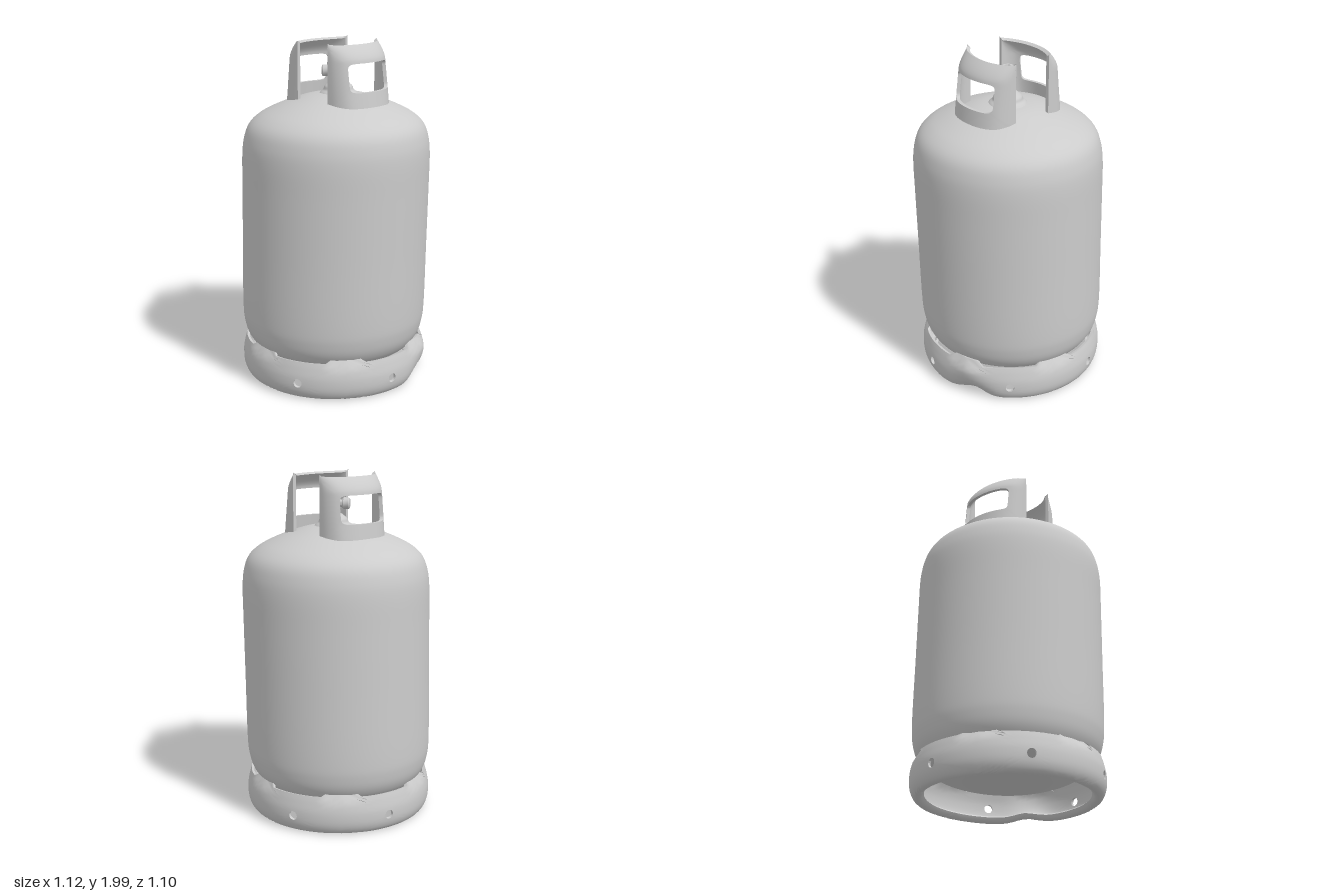
import * as THREE from 'three';
import { mergeGeometries, toCreasedNormals } from 'three/addons/utils/BufferGeometryUtils.js';

const material = new THREE.MeshStandardMaterial({ color: 0xcccccc, side: THREE.DoubleSide });
const V2 = (x, y) => new THREE.Vector2(x, y);
const smooth = THREE.MathUtils.smoothstep;

function add(parent, name, geometry, x = 0, y = 0, z = 0) {
  const mesh = new THREE.Mesh(geometry, material);
  mesh.name = name;
  mesh.position.set(x, y, z);
  parent.add(mesh);
  return mesh;
}

// Lathe through a smooth curve or straight segments
function lathe(points, sides, samples) {
  const pts = points.map(p => V2(...p));
  const profile = samples ? new THREE.SplineCurve(pts).getPoints(samples) : pts;
  profile.forEach(p => { p.x = Math.max(0, p.x); });
  const g = new THREE.LatheGeometry(profile, sides);
  return samples ? g : toCreasedNormals(g, 0.6);
}

// Thick rectangular sheet with one hole; map(u, v, depth) bends it into place
function piercedSheet(halfU, halfV, hole, thickness, perSide, steps, map) {
  const rim = [];
  const corners = [[-1, -1], [1, -1], [1, 1], [-1, 1]];
  corners.forEach(([a, b], k) => {
    const [c, d] = corners[(k + 1) % 4];
    for (let i = 0; i < perSide; i++) {
      const t = i / perSide;
      rim.push([a + (c - a) * t, b + (d - b) * t]);
    }
  });
  const n = rim.length, m = 2 * (steps + 1), pos = [], index = [];
  for (const [a, b] of rim) {
    const [hu, hv] = hole(a, b);
    for (let j = 0; j < m; j++) {
      const back = j > steps;
      const t = (back ? m - 1 - j : j) / steps;
      pos.push(...map(hu + (a * halfU - hu) * t, hv + (b * halfV - hv) * t, back ? thickness : 0));
    }
  }
  for (let i = 0; i < n; i++) for (let j = 0; j < m; j++) {
    const i2 = (i + 1) % n, j2 = (j + 1) % m;
    const p = i * m + j, q = i * m + j2, r = i2 * m + j2, s = i2 * m + j;
    index.push(p, q, r, p, r, s);
  }
  const g = new THREE.BufferGeometry();
  g.setAttribute('position', new THREE.Float32BufferAttribute(pos, 3));
  g.setIndex(index);
  return g;
}

// Foot ring: six pierced sectors, rolled under at the bottom and welded to the tank between slots
function footRing() {
  const curve = new THREE.SplineCurve([
    [0.465, 0.035], [0.485, 0.01], [0.52, 0.012], [0.545, 0.06],
    [0.549, 0.13], [0.538, 0.19], [0.527, 0.228]].map(p => V2(...p)));
  const R = 0.545, halfU = R * Math.PI / 6, halfV = 0.14;
  const hole = (a, b) => {
    const l = Math.hypot(a, b);
    return [0.025 * a / l, 0.02 + 0.025 * b / l];
  };
  const sectors = [];
  for (let k = 0; k < 6; k++) {
    const centre = THREE.MathUtils.degToRad(20 + 60 * k);
    sectors.push(piercedSheet(halfU, halfV, hole, 0.016, 14, 9, (u, v, depth) => {
      const t = THREE.MathUtils.clamp((v + halfV) / (2 * halfV), 0, 1);
      const p = curve.getPointAt(t), d = curve.getTangentAt(t);
      let r = p.x - d.y * depth, y = p.y + d.x * depth;
      // weld tabs
      const tab = smooth(t, 0.85, 1) * smooth(Math.abs(u) / halfU, 0.55, 0.75);
      r -= 0.03 * tab;
      y += 0.025 * tab;
      // dent in one side
      const a = centre + u / R;
      const dent = Math.exp(-(((a - 1.99) / 0.2) ** 2));
      r += dent * (0.025 * smooth(y, 0.1, 0.2) - 0.04 * (1 - smooth(y, 0.02, 0.13)));
      y += dent * 0.018 * (1 - smooth(y, 0.02, 0.1));
      return [r * Math.sin(a), y, r * Math.cos(a)];
    }));
  }
  return toCreasedNormals(mergeGeometries(sectors), 0.7);
}

// Guard handle: curved plate with a window, leaning in and curling over at the top
function handle(lean) {
  const half = [[0.13, 0.213], [0.2, 0.205], [0.262, 0.17], [0.302, 0.095]];
  const plan = new THREE.SplineCurve([
    ...half.map(([x, z]) => V2(x, z)), V2(0.315, 0),
    ...half.slice().reverse().map(([x, z]) => V2(x, -z))]);
  const hole = (a, b) => {
    const l = (a ** 8 + b ** 8) ** (1 / 8);
    return [0.53 * a / l, 0.08 * b / l];
  };
  const g = piercedSheet(1, 0.19, hole, 0.02, 20, 8, (u, v, depth) => {
    const t = THREE.MathUtils.clamp((u + 1) / 2, 0, 1);
    const p = plan.getPointAt(t), d = plan.getTangentAt(t);
    const rise = (v + 0.19) / 0.38, inner = 1 - u ** 4;
    const curl = Math.max(0, (v - 0.09) / 0.1);
    const x = p.x + d.y * depth - inner * (lean * rise + 0.05 * curl ** 1.6);
    const y = 1.81 + v - 0.012 * curl * inner - 0.01 * curl * depth / 0.02;
    return [x, y, p.y - d.x * depth];
  });
  return toCreasedNormals(g, 0.7);
}

export function createModel() {
  const model = new THREE.Group();
  model.name = 'gasCylinder';

  // Tank, leaning very slightly
  const tank = lathe([
    [0, 0.09], [0.2, 0.1], [0.36, 0.14], [0.46, 0.19], [0.512, 0.25], [0.538, 0.33],
    [0.547, 0.45], [0.547, 0.8], [0.547, 1.15], [0.546, 1.35], [0.533, 1.45], [0.505, 1.52],
    [0.45, 1.572], [0.37, 1.615], [0.27, 1.655], [0.15, 1.69], [0, 1.705]], 72, 90);
  const shear = new THREE.Matrix4().makeShear(0, 0, 0.022, 0, 0, 0);
  if (Math.abs(shear.elements[4] - 0.022) > 1e-6) shear.identity().elements[4] = 0.022;
  tank.applyMatrix4(shear);
  add(model, 'tank', tank, -0.019, 0, 0);

  add(model, 'footRing', footRing(), -0.01, 0, 0);

  // Handles, the second turned half round
  add(model, 'leftHandle', handle(0.055), 0.003, 0, -0.005);
  add(model, 'rightHandle', handle(0.045), 0.033, 0, -0.007).rotation.y = Math.PI;

  // Valve
  const valve = new THREE.Group();
  valve.name = 'valve';
  valve.position.set(0.02, 0, -0.01);
  model.add(valve);
  add(valve, 'valveBoss', lathe([
    [0.13, 1.67], [0.105, 1.7], [0.088, 1.715], [0.08, 1.735], [0.06, 1.752], [0.04, 1.765], [0, 1.77]], 32, 24));
  add(valve, 'valveStem', lathe([
    [0.034, 1.755], [0.032, 1.775], [0.04, 1.79], [0.043, 1.82], [0.037, 1.845], [0.027, 1.86], [0.026, 1.885]], 24, 24));
  add(valve, 'valveCap', lathe([
    [0, 1.868], [0.03, 1.872], [0.037, 1.88], [0.037, 1.905], [0.032, 1.911],
    [0.018, 1.911], [0.016, 1.89], [0, 1.89]], 8));

  // Side outlet pointing to the front right
  const outlet = new THREE.Group();
  outlet.name = 'valveOutlet';
  outlet.position.y = 1.822;
  outlet.rotation.set(Math.PI / 2, 0, 0.88);
  valve.add(outlet);
  add(outlet, 'outletPipe', lathe([[0, 0], [0.022, 0], [0.022, 0.06]], 16));
  add(outlet, 'outletNut', lathe([
    [0, 0.052], [0.028, 0.052], [0.034, 0.06], [0.034, 0.088], [0.028, 0.095], [0, 0.095]], 12));
  return model;
}
